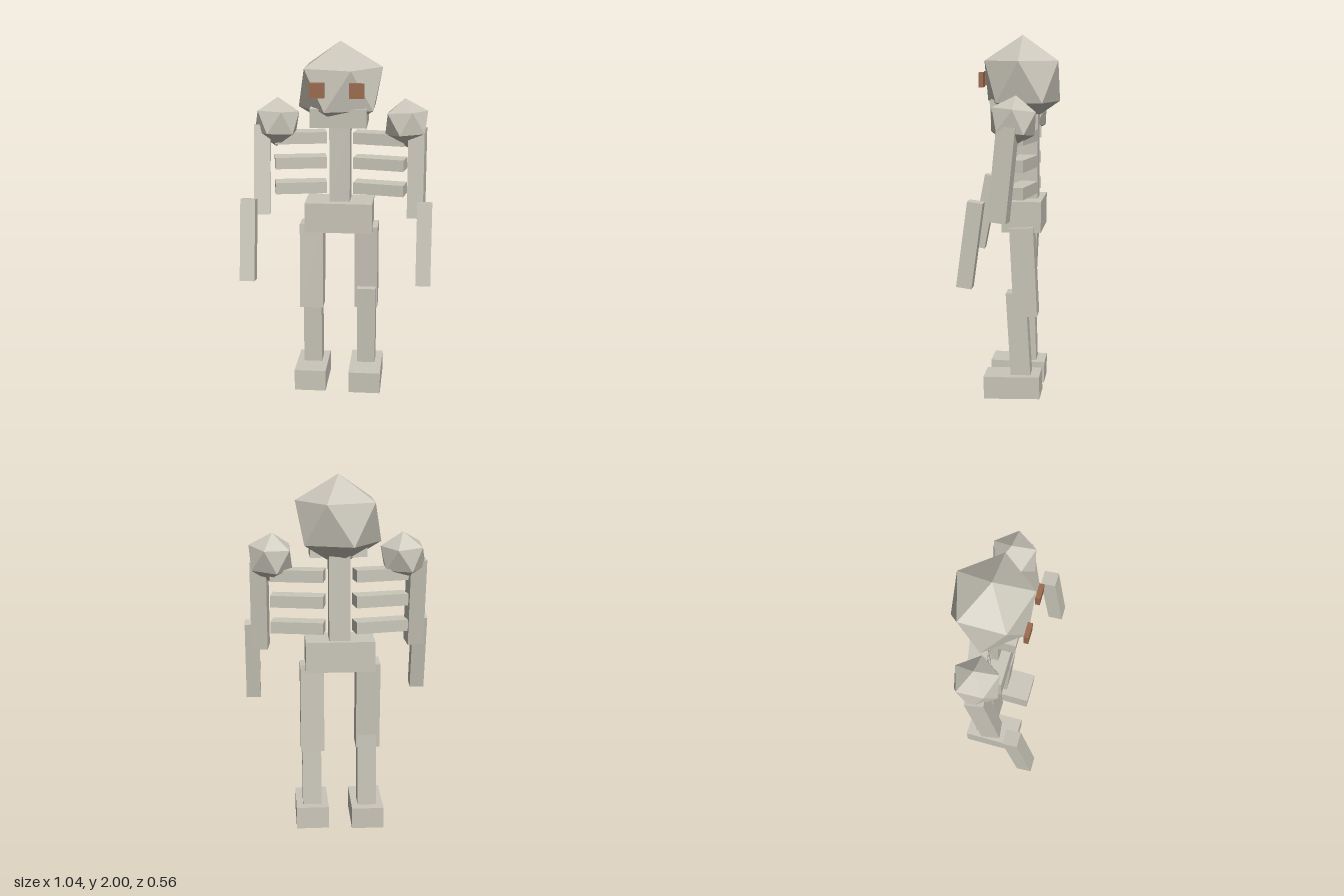
import * as THREE from 'three';
import { ConvexGeometry } from 'three/addons/geometries/ConvexGeometry.js';

const bone = new THREE.MeshStandardMaterial({ color: 0xcac6ba, flatShading: true });
bone.name = 'bone';
const eyeBrown = new THREE.MeshStandardMaterial({ color: 0x9c6b4e, flatShading: true });
eyeBrown.name = 'eyeBrown';

// Twenty-sided ball standing on a corner, with one upper corner pointing to +x
function pointedBall() {
  const points = [new THREE.Vector3(0, 1, 0), new THREE.Vector3(0, -1, 0)];
  const y = 1 / Math.sqrt(5), r = 2 * y;
  for (let i = 0; i < 5; i++) {
    const a = (i * 2 * Math.PI) / 5;
    points.push(new THREE.Vector3(r * Math.cos(a), y, r * Math.sin(a)));
    points.push(new THREE.Vector3(-r * Math.cos(a), -y, -r * Math.sin(a)));
  }
  return new ConvexGeometry(points);
}

export function createModel() {
  const model = new THREE.Group();
  model.name = 'skeleton';

  const add = (name, geometry, position, rotation = [0, 0, 0], material = bone) => {
    const mesh = new THREE.Mesh(geometry, material);
    mesh.name = name;
    mesh.position.set(...position);
    mesh.rotation.set(...rotation);
    model.add(mesh);
    return mesh;
  };
  const box = (name, size, position, rotation, material) =>
    add(name, new THREE.BoxGeometry(...size), position, rotation, material);

  // Skull, jaw and eyes
  const ball = pointedBall();
  add('skull', ball, [0, 1.75, -0.08]).scale.set(0.26, 0.25, 0.237);
  box('jaw', [0.31, 0.105, 0.2], [0, 1.605, -0.02], [0.05, 0, 0]);
  box('rightEye', [0.082, 0.08, 0.025], [-0.11, 1.76, 0.132], [0, 0, 0], eyeBrown);
  box('leftEye', [0.082, 0.08, 0.025], [0.105, 1.76, 0.132], [0, 0, 0], eyeBrown);

  // Trunk
  box('spine', [0.115, 0.5, 0.13], [-0.002, 1.32, -0.105]);
  box('pelvis', [0.38, 0.17, 0.215], [-0.005, 1.02, -0.093]);
  for (const y of [1.175, 1.32, 1.462]) {
    box('leftRib', [0.29, 0.065, 0.1], [0.222, y, -0.1], [0, -0.185, 0]);
    box('rightRib', [0.29, 0.065, 0.1], [-0.228, y, -0.1], [0, 0.185, 0]);
  }

  // Shoulders
  add('leftShoulder', ball, [0.367, 1.555, -0.07], [-0.1, 0, 0.07]).scale.setScalar(0.136);
  add('rightShoulder', ball, [-0.354, 1.552, -0.065], [-0.1, 0, -0.03]).scale.setScalar(0.137);

  // Arms, swung slightly forward by different amounts
  box('leftUpperArm', [0.09, 0.5, 0.1], [0.43, 1.285, -0.025], [-0.1, -0.13, 0]);
  box('rightUpperArm', [0.09, 0.5, 0.1], [-0.433, 1.29, -0.01], [-0.16, 0.13, 0]);
  box('leftForearm', [0.082, 0.455, 0.082], [0.478, 0.923, 0.14], [-0.135, 0, 0]);
  box('rightForearm', [0.082, 0.45, 0.082], [-0.483, 0.941, 0.198], [-0.19, 0, 0]);

  // Legs, caught in a slight stride
  box('leftThigh', [0.13, 0.495, 0.13], [0.15, 0.717, -0.108], [0.05, 0, 0]);
  box('rightThigh', [0.133, 0.495, 0.13], [-0.162, 0.72, -0.082], [-0.045, 0, 0]);
  box('leftShin', [0.105, 0.49, 0.11], [0.153, 0.355, -0.08], [0.06, 0, 0]);
  box('rightShin', [0.105, 0.49, 0.11], [-0.158, 0.35, -0.09], [0.03, 0, 0]);
  box('leftFoot', [0.182, 0.125, 0.31], [0.153, 0.068, -0.047], [0.03, 0, 0]);
  box('rightFoot', [0.18, 0.122, 0.31], [-0.16, 0.064, -0.047], [-0.015, 0, 0]);

  return model;
}
